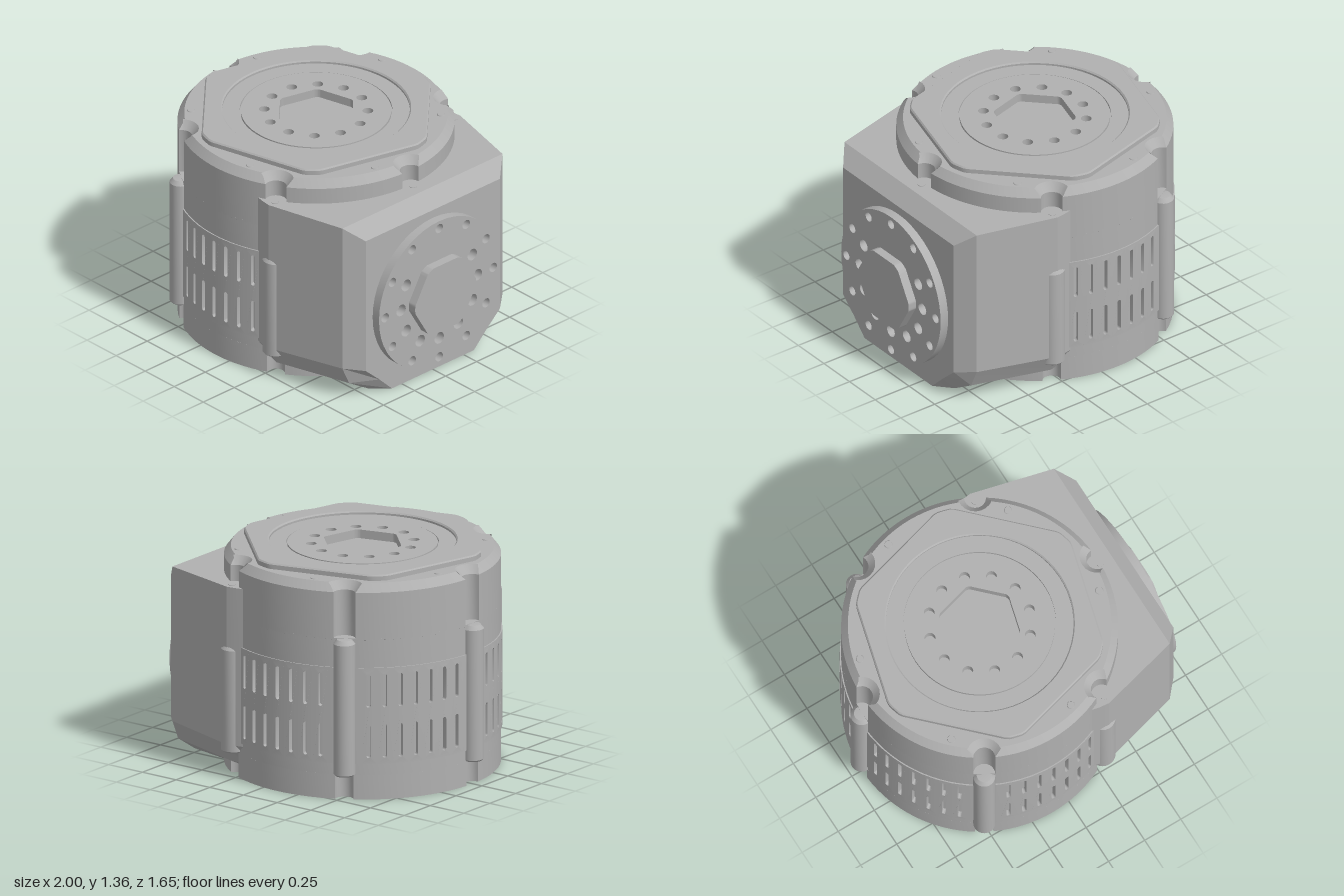
import * as THREE from 'three';
import { mergeGeometries, toCreasedNormals } from 'three/addons/utils/BufferGeometryUtils.js';

const CX = -0.115, R = 0.815, RAD = Math.PI / 180;
const polar = (r, deg) => new THREE.Vector2(r * Math.cos(deg * RAD), r * Math.sin(deg * RAD));

// Closed outlines
const circle = (r, x = 0, y = 0, n = 24) =>
  Array.from({ length: n }, (_, i) => polar(r, i * 360 / n).add(new THREE.Vector2(x, y)));

// Hexagon with its corners trimmed to a circle
function hexagon(apothem, clip, edgeDeg) {
  return Array.from({ length: 180 }, (_, i) => {
    const rel = ((i * 2 - edgeDeg + 750) % 60) - 30;
    return polar(Math.min(apothem / Math.cos(rel * RAD), clip), i * 2);
  });
}

// Circle with six scooped notches
function notched(r, notch) {
  const pts = [], half = 2 * Math.asin(notch / 2 / r) / RAD;
  for (let k = 0; k < 6; k++) {
    const a = k * 60;
    for (let i = 0; i <= 10; i++) {
      const d = a - 90 - half / 2 - (180 - half) * i / 10;
      pts.push(polar(r, a).add(polar(notch, d)));
    }
    for (let i = 1; i < 16; i++) pts.push(polar(r, a + half + (60 - 2 * half) * i / 16));
  }
  return pts;
}

function extrude(outline, holes, depth, bevel = 0, bevelHeight = bevel) {
  const shape = new THREE.Shape(outline);
  holes.forEach(h => shape.holes.push(new THREE.Path(h)));
  const geo = new THREE.ExtrudeGeometry(shape, {
    depth: depth - 2 * bevelHeight, bevelEnabled: bevel > 0, bevelSegments: 1,
    bevelSize: bevel, bevelThickness: bevelHeight, bevelOffset: -bevel });
  geo.translate(0, 0, bevelHeight);
  return toCreasedNormals(geo, 0.5);
}

// Upright slab between two heights
const slab = (outline, holes, y0, y1, bevel, bevelHeight) =>
  extrude(outline, holes, y1 - y0, bevel, bevelHeight).rotateX(-Math.PI / 2).translate(0, y0, 0);

// One third-of-a-right-angle style vent panel, bent around the body
function ventPanel(centreDeg) {
  const inner = 0.79, cells = 9, step = 60 / cells, w = step * RAD * R, geos = [];
  for (let i = 0; i < cells; i++) {
    const shape = new THREE.Shape([[0, 0.22], [w, 0.22], [w, 0.81], [0, 0.81]].map(p => new THREE.Vector2(...p)));
    if (i > 0 && i < cells - 1) for (const y of [0.36, 0.67]) {
      const slot = new THREE.Path();
      slot.absarc(w / 2, y + 0.09, 0.013, 0, Math.PI);
      slot.absarc(w / 2, y - 0.09, 0.013, Math.PI, 2 * Math.PI);
      slot.closePath();
      shape.holes.push(slot);
    }
    const geo = new THREE.ExtrudeGeometry(shape, { depth: 0.033, bevelEnabled: false, curveSegments: 5 });
    const p = geo.attributes.position;
    for (let j = 0; j < p.count; j++) {
      const a = (centreDeg - 30 + i * step) * RAD + p.getX(j) / R, r = inner + p.getZ(j);
      p.setXYZ(j, r * Math.cos(a), p.getY(j), -r * Math.sin(a));
    }
    geos.push(geo);
  }
  const merged = mergeGeometries(geos);
  merged.computeVertexNormals();
  return toCreasedNormals(merged, 0.5);
}

// Side housing lofted through sections along x:
// [x, half width, top, lower side y, mid z, mid y, bottom half width]
function housingGeometry() {
  const sections = [
    [0.12, 0.74, 1.17, 0.2, 0.66, 0.08, 0.55],
    [0.24, 0.765, 1.17, 0.2, 0.69, 0.08, 0.55],
    [0.3, 0.772, 1.17, 0.2, 0.71, 0.08, 0.54],
    [0.8, 0.645, 1.17, 0.22, 0.59, 0.1, 0.43],
    [0.89, 0.54, 1.08, 0.2, 0.43, 0.1, 0.33],
  ];
  const pos = [], idx = [], n = 8;
  for (const [x, w, top, ys, zm, ym, wb] of sections) {
    const side = [[w, top], [w, ys], [zm, ym], [wb, 0]];
    for (const [z, y] of side) pos.push(x, y, z);
    for (const [z, y] of side.reverse()) pos.push(x, y, -z);
  }
  for (let s = 0; s < sections.length - 1; s++) for (let i = 0; i < n; i++) {
    const a = s * n + i, b = s * n + (i + 1) % n;
    idx.push(a, b, b + n, a, b + n, a + n);
  }
  const last = (sections.length - 1) * n;
  for (let i = 1; i < n - 1; i++) idx.push(last, last + i, last + i + 1, 0, i + 1, i);
  const geo = new THREE.BufferGeometry();
  geo.setAttribute('position', new THREE.Float32BufferAttribute(pos, 3));
  geo.setIndex(idx);
  return toCreasedNormals(geo, 0.2);
}

export function createModel() {
  const model = new THREE.Group();
  const metal = new THREE.MeshStandardMaterial({ color: 0xb0b0b0 });
  metal.name = 'metal grey';
  const drum = new THREE.Group();
  drum.name = 'drum';
  drum.position.x = CX;
  model.add(drum);
  const add = (parent, name, geo) => {
    const mesh = new THREE.Mesh(geo, metal);
    mesh.name = name;
    parent.add(mesh);
    return mesh;
  };
  const boltRing = (n, r, size, from = 0) => Array.from({ length: n }, (_, i) => {
    const c = polar(r, from + i * 30);
    return circle(size, c.x, c.y, 16);
  });

  // Drum body, stacked from the bottom
  const round = circle(R, 0, 0, 96);
  add(drum, 'base', slab(notched(R, 0.055), [circle(0.09, 0.27, 0.46)], 0, 0.15));
  add(drum, 'lowerBody', slab(round, [], 0.15, 0.22));
  add(drum, 'ventCore', slab(circle(0.79, 0, 0, 96), [], 0.22, 0.81));
  add(drum, 'middleBody', slab(round, [], 0.81, 0.99));
  add(drum, 'upperBody', slab(notched(R, 0.065), [circle(0.4, 0, 0, 64)], 0.93, 1.32, 0.04, 0.05));
  for (const a of [90, 150, 210, 270]) add(drum, 'ventPanel', ventPanel(a));

  // Bolt columns around the drum
  for (const a of [60, 120, 180, 240, 300]) {
    const short = a === 60 || a === 300, r = short ? 0.078 : 0.065, top = short ? 0.81 : 0.99;
    const profile = [[0.025, 0.19], [0.025, 0.15], [r - 0.01, 0.15], [r, 0.16], [r, top - 0.03], [r - 0.02, top - 0.005], [0, top]];
    const geo = new THREE.LatheGeometry(profile.map(p => new THREE.Vector2(...p)), 24);
    const column = add(drum, 'boltColumn', toCreasedNormals(geo, 0.6));
    const c = polar(0.818, a);
    column.position.set(c.x, 0, -c.y);
  }

  // Top plate, ring and hub
  add(drum, 'topPlate', slab(hexagon(0.663, 0.738, 45), [circle(0.552, 0, 0, 64)], 1.31, 1.355, 0.008));
  add(drum, 'seatRing', slab(circle(0.565, 0, 0, 64), [circle(0.45, 0, 0, 64)], 1.31, 1.335));
  add(drum, 'hub', slab(circle(0.443, 0, 0, 64),
    [hexagon(0.215, 0.242, 45), ...boltRing(12, 0.305, 0.032, 15)], 1.25, 1.338));
  add(drum, 'hubFloor', slab(circle(0.39, 0, 0, 48), [], 0.98, 1.285));
  for (let k = 0; k < 6; k++) {
    const c = polar(0.735, 45 + k * 60);
    add(drum, 'topScrew', new THREE.CylinderGeometry(0.022, 0.025, 0.006, 16)).position.set(c.x, 1.322, -c.y);
  }

  // Side housing with its screws
  add(model, 'sideHousing', housingGeometry());
  for (const [x, z] of [[0.72, 0], [0.3, 0.72], [0.3, -0.72]])
    add(model, 'housingScrew', new THREE.CylinderGeometry(0.023, 0.023, 0.006, 16)).position.set(x, 1.17, z);

  // Output flange and hexagonal boss on the side
  const output = new THREE.Group();
  output.name = 'output';
  output.position.set(0.89, 0.543, 0);
  output.rotation.y = Math.PI / 2;
  model.add(output);
  add(output, 'flange', extrude(circle(0.485, 0, 0, 48),
    [...boltRing(12, 0.435, 0.03), ...boltRing(9, 0.307, 0.038, 150)], 0.055));
  add(output, 'outputBoss', extrude(hexagon(0.224, 0.245, 30), [], 0.11));
  return model;
}
